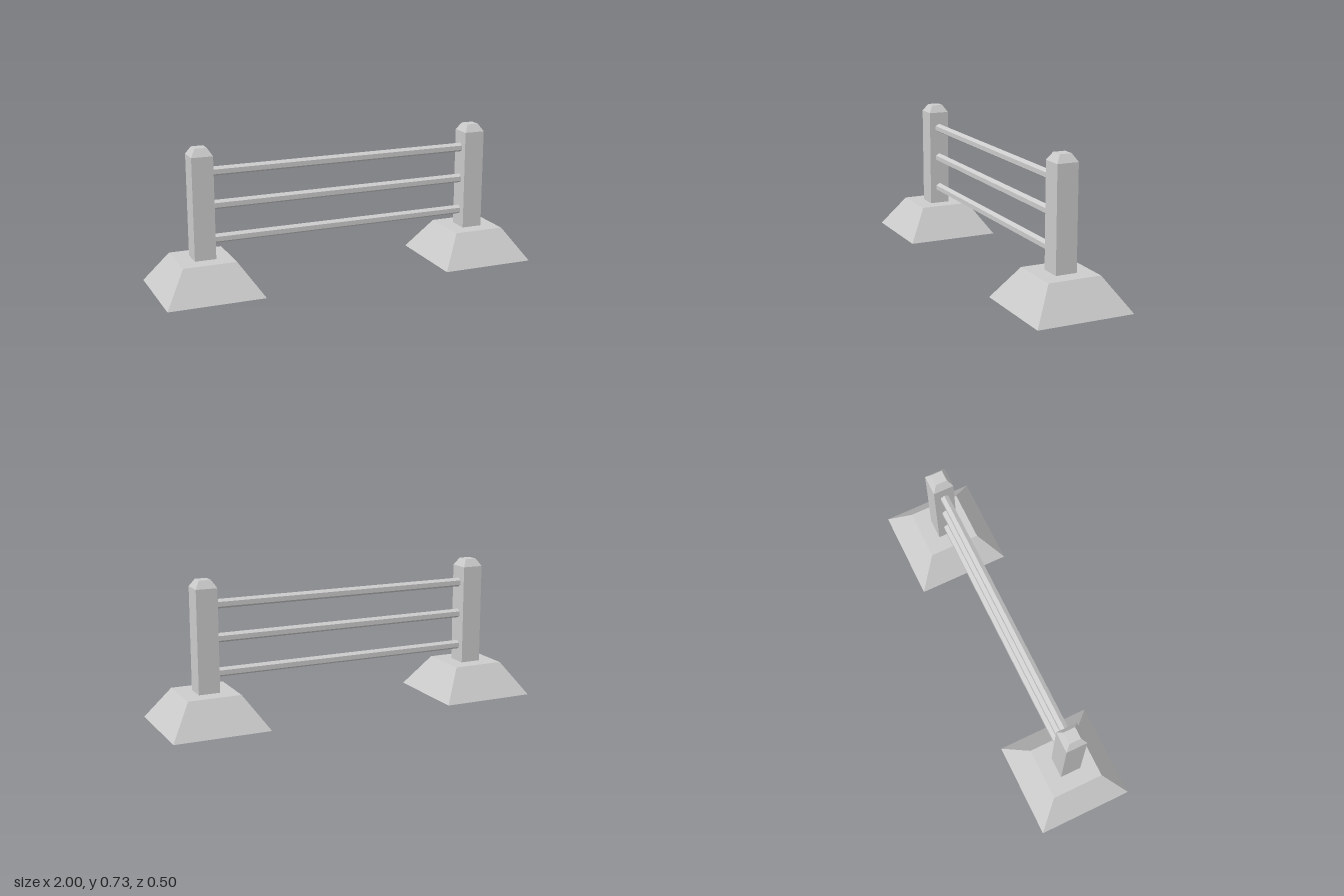
import * as THREE from 'three';

const material = new THREE.MeshStandardMaterial({ color: 0xcccccc, flatShading: true });

function addMesh(parent, name, geometry, x, y) {
  const mesh = new THREE.Mesh(geometry, material);
  mesh.name = name;
  mesh.position.set(x, y, 0);
  parent.add(mesh);
}

// Square frustum standing on y = 0, sized by its half widths
function frustum(bottom, top, height) {
  return new THREE.CylinderGeometry(top * Math.SQRT2, bottom * Math.SQRT2, height, 4)
    .rotateY(Math.PI / 4)
    .translate(0, height / 2, 0);
}

export function createModel() {
  const model = new THREE.Group();
  model.name = 'railBarrier';

  const baseHeight = 0.168, shoulder = 0.693, topHeight = 0.732;
  const postHalf = 0.055, postX = 0.75;

  // Footing, post and chamfered cap on each side
  for (const [side, s] of [['left', 1], ['right', -1]]) {
    const support = new THREE.Group();
    support.name = side + 'Support';
    support.position.x = s * postX;
    addMesh(support, 'footing', frustum(0.25, 0.137, baseHeight), 0, 0);
    const postHeight = shoulder - baseHeight;
    addMesh(support, 'post', new THREE.BoxGeometry(postHalf * 2, postHeight, postHalf * 2), 0, baseHeight + postHeight / 2);
    addMesh(support, 'postCap', frustum(postHalf, 0.031, topHeight - shoulder), 0, shoulder);
    model.add(support);
  }

  // Hexagonal rails with a ridge on top
  const railLength = 2 * (postX - postHalf) + 0.01;
  const rail = new THREE.CylinderGeometry(0.024, 0.024, railLength, 6)
    .rotateY(Math.PI / 2)
    .rotateZ(Math.PI / 2);
  [['lowerRail', 0.259], ['middleRail', 0.434], ['upperRail', 0.605]]
    .forEach(([name, y]) => addMesh(model, name, rail, 0, y));

  return model;
}
